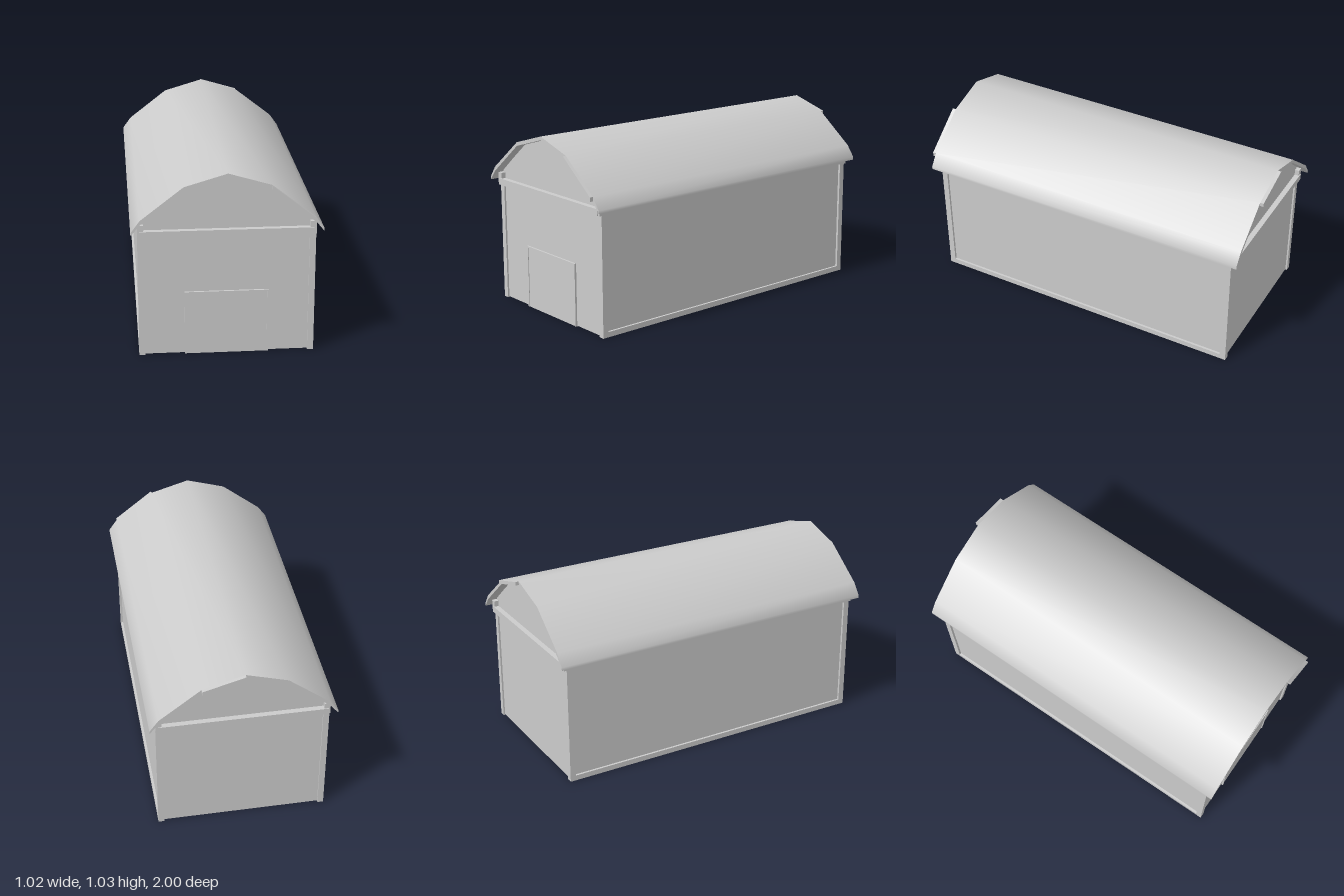
import * as THREE from 'three';
import { toCreasedNormals } from 'three/addons/utils/BufferGeometryUtils.js';

export function createModel() {
  const barn = new THREE.Group();
  barn.name = 'barn';
  const material = new THREE.MeshStandardMaterial({ color: 0xcccccc });

  const add = (name, geometry) => {
    const mesh = new THREE.Mesh(geometry, material);
    mesh.name = name;
    barn.add(mesh);
  };
  // Box given by its limits on each axis
  const box = (name, x0, x1, y0, y1, z0, z1) => {
    const g = new THREE.BoxGeometry(x1 - x0, y1 - y0, z1 - z0);
    g.translate((x0 + x1) / 2, (y0 + y1) / 2, (z0 + z1) / 2);
    add(name, g);
  };
  // Outline in x, y extruded between two z positions
  const prism = (points, z0, z1) => {
    const shape = new THREE.Shape(points.map(([x, y]) => new THREE.Vector2(x, y)));
    const g = new THREE.ExtrudeGeometry(shape, { depth: z1 - z0, bevelEnabled: false });
    return g.translate(0, 0, z0);
  };
  const mirror = (half) => [...half, ...half.filter(([x]) => x > 0).reverse().map(([x, y]) => [-x, y])];

  // Walls and gables as one solid
  add('walls', prism(mirror([[0.46, 0.004], [0.46, 0.76], [0.23, 0.95], [0, 1.018]]), -0.925, 0.925));

  // Gambrel roof with flared eaves, smooth on top and sharp at the edges
  const outer = [[0.508, 0.722], [0.46, 0.788], [0.23, 0.967], [0, 1.035]];
  const inner = [[0.508, 0.705], [0.46, 0.764], [0.23, 0.946], [0, 1.014]];
  const roof = prism([...mirror(outer), ...mirror(inner).reverse()], -0.98, 0.98);
  add('roof', toCreasedNormals(roof, 0.7));

  // Roof panels that reach a little past the others
  const panel = (i, z0, z1) =>
    add('roofPanelEnd', prism([outer[i], outer[i + 1], inner[i + 1], inner[i]], z0, z1));
  panel(1, 0.98, 1);
  panel(2, -1, -0.98);

  for (const s of [-1, 1]) {
    const side = (name, a, b, ...rest) => box(name, Math.min(s * a, s * b), Math.max(s * a, s * b), ...rest);
    // Side framing: wall plate, sill and corner posts
    side('wallPlate', 0.44, 0.473, 0.68, 0.75, -0.95, 0.95);
    side('sill', 0.44, 0.473, 0, 0.03, -0.92, 0.92);
    for (const z of [-0.918, 0.918]) {
      side('cornerPost', 0.44, 0.473, 0, 0.7, z - 0.017, z + 0.017);
    }
    // Beam across each gable
    box('gableBeam', -0.463, 0.46, 0.68, 0.717, s * 0.935 - 0.02, s * 0.935 + 0.02);
    // Door jambs
    side('doorJamb', 0.217, 0.226, 0, 0.36, 0.92, 0.936);
  }

  // Door with its head trim
  box('door', -0.217, 0.217, 0, 0.353, 0.92, 0.932);
  box('doorHead', -0.226, 0.226, 0.353, 0.361, 0.92, 0.936);

  return barn;
}
